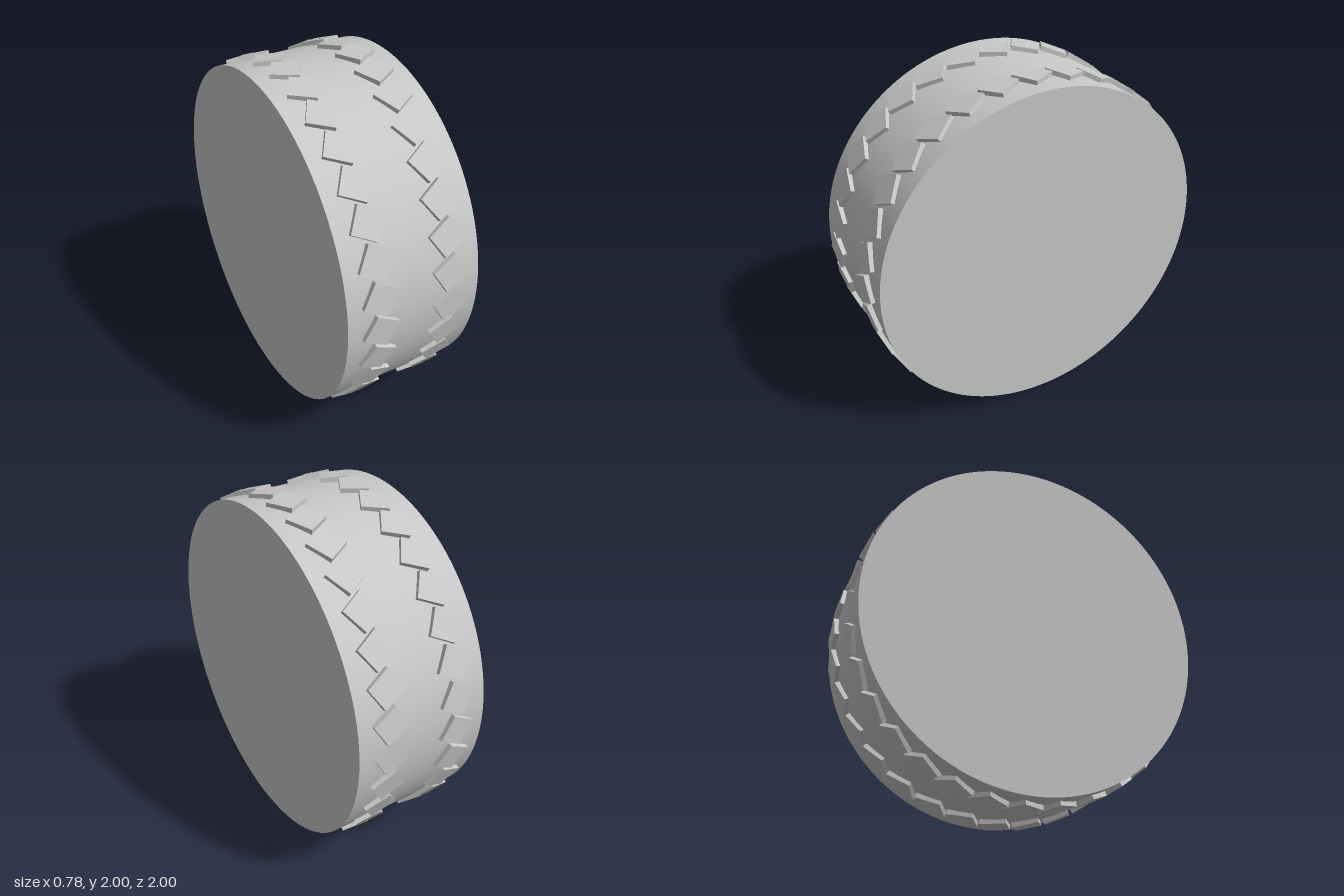
import * as THREE from 'three';

const RADIUS = 0.977;
const WIDTH = 0.78;
const TREADS = 32;
const TREAD_SIZE = 0.151;
const TREAD_DEPTH = 0.046;

export function createModel() {
  const model = new THREE.Group();
  model.name = 'treadedWheel';
  const grey = new THREE.MeshStandardMaterial({ color: 0xc8c8c8 });
  grey.name = 'plain grey';

  // Everything turns about the axle, one unit above the ground
  const wheel = new THREE.Group();
  wheel.name = 'wheel';
  wheel.position.y = 1;
  model.add(wheel);

  // Smooth solid drum lying along x
  const drumGeometry = new THREE.CylinderGeometry(RADIUS, RADIUS, WIDTH, 128);
  drumGeometry.rotateZ(Math.PI / 2);
  const drum = new THREE.Mesh(drumGeometry, grey);
  drum.name = 'drum';
  wheel.add(drum);

  // Two mirrored rows of tilted square tread blocks
  const blockGeometry = new THREE.BoxGeometry(TREAD_SIZE, TREAD_SIZE, TREAD_DEPTH);
  for (const side of [-1, 1]) {
    const row = new THREE.Group();
    row.name = side > 0 ? 'leftTreadRow' : 'rightTreadRow';
    for (let i = 0; i < TREADS; i++) {
      const spoke = new THREE.Group();
      spoke.name = 'treadPosition';
      spoke.rotation.x = (i / TREADS) * Math.PI * 2;
      const block = new THREE.Mesh(blockGeometry, grey);
      block.name = 'treadBlock';
      block.position.set(side * 0.206, 0, 1 - TREAD_DEPTH / 2);
      block.rotation.z = side * Math.PI / 6;
      spoke.add(block);
      row.add(spoke);
    }
    wheel.add(row);
  }
  return model;
}
